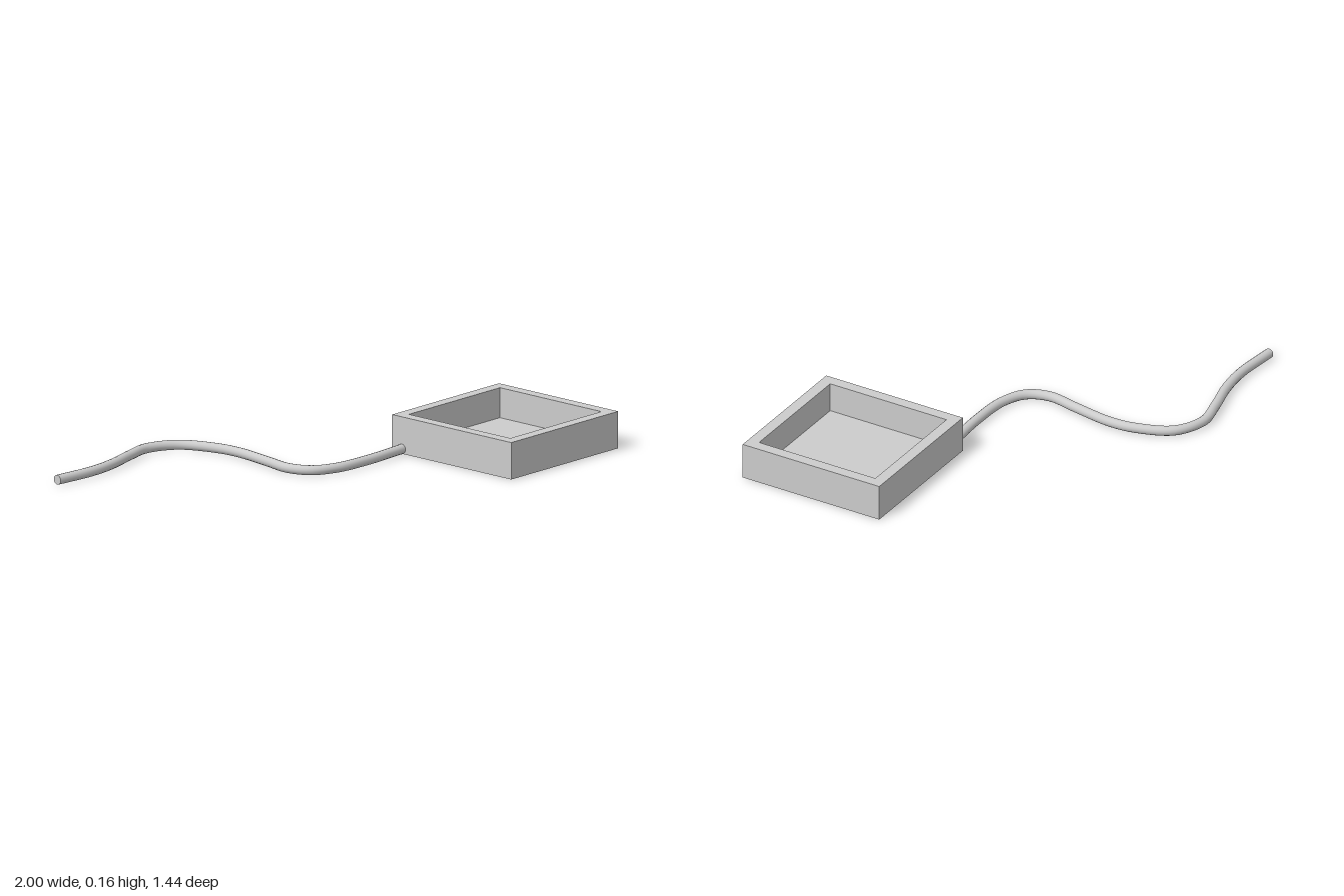
import * as THREE from 'three';

const material = new THREE.MeshStandardMaterial({ color: 0xcccccc });

function add(group, name, geometry) {
  const mesh = new THREE.Mesh(geometry, material);
  mesh.name = name;
  group.add(mesh);
  return mesh;
}

// Square outline centred on the origin
function square(Type, size) {
  const h = size / 2;
  return new Type([[-h, -h], [h, -h], [h, h], [-h, h]].map(([x, y]) => new THREE.Vector2(x, y)));
}

// Open tray: a square wall ring standing around a thin floor
function createTray() {
  const outer = 0.67, inner = 0.57, height = 0.16, floor = 0.03;
  const tray = new THREE.Group();
  tray.name = 'tray';

  const ring = square(THREE.Shape, outer);
  ring.holes.push(square(THREE.Path, inner));
  const walls = new THREE.ExtrudeGeometry(ring, { depth: height, bevelEnabled: false });
  add(tray, 'trayWalls', walls.rotateX(-Math.PI / 2));

  add(tray, 'trayFloor', new THREE.BoxGeometry(inner, floor, inner)).position.y = floor / 2;
  tray.position.set(0.665, 0, 0.38);
  return tray;
}

// Round cable lying on the ground, winding away from the tray
function createCable() {
  const radius = 0.021, sides = 14;
  const cable = new THREE.Group();
  cable.name = 'cable';

  const path = new THREE.CatmullRomCurve3([
    [-1, -0.644], [-0.8, -0.628], [-0.66, -0.642], [-0.5, -0.682], [-0.374, -0.703],
    [-0.246, -0.642], [-0.178, -0.49], [-0.166, -0.372], [-0.193, -0.185], [-0.214, -0.05],
    [-0.176, 0.045], [-0.075, 0.097], [0.1, 0.111], [0.34, 0.1],
  ].map(([x, z]) => new THREE.Vector3(x, radius, z)));
  add(cable, 'cableSheath', new THREE.TubeGeometry(path, 96, radius, sides));

  // Flat cap closing the free end
  const cap = add(cable, 'cableEnd', new THREE.CircleGeometry(radius, sides));
  cap.position.copy(path.getPoint(0));
  cap.lookAt(cap.position.clone().sub(path.getTangent(0)));
  return cable;
}

export function createModel() {
  const model = new THREE.Group();
  model.name = 'trayWithCable';
  model.add(createTray(), createCable());
  return model;
}
